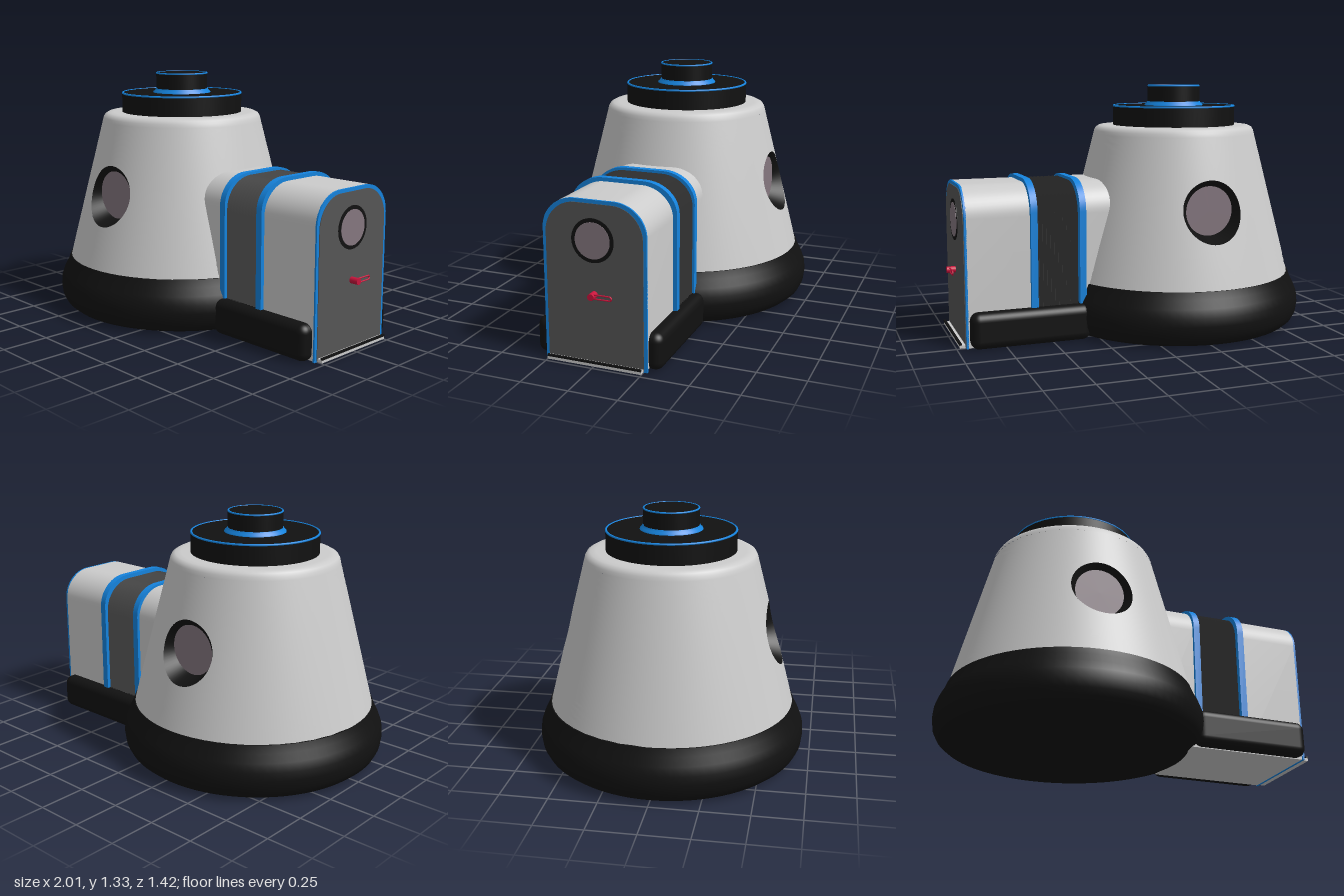
import * as THREE from 'three';
import { RoundedBoxGeometry } from 'three/addons/geometries/RoundedBoxGeometry.js';
import { toCreasedNormals } from 'three/addons/utils/BufferGeometryUtils.js';

const mat = (color, side = THREE.FrontSide) => new THREE.MeshStandardMaterial({ color, side });
const grey = mat(0xcccccc), black = mat(0x111111), blue = mat(0x1583dd), red = mat(0xc8143c);
const glass = mat(0x85777f), doorGrey = mat(0x555555);
const blackOpen = mat(0x111111, THREE.DoubleSide), bellowsGrey = mat(0x3c3c3c, THREE.DoubleSide);

function add(parent, name, geometry, material, x = 0, y = 0, z = 0) {
  const mesh = new THREE.Mesh(geometry, material);
  mesh.name = name;
  mesh.position.set(x, y, z);
  parent.add(mesh);
  return mesh;
}

const lathe = (pts) => toCreasedNormals(
  new THREE.LatheGeometry(pts.map(([r, y]) => new THREE.Vector2(r, y)), 80), 0.6);

// Conical wall: radius by height, and the round window openings in it
const Y0 = 0.28, Y1 = 1.06, SLOPE = 0.2545;
const wallRadius = (y) => 0.648 - SLOPE * (y - 0.29);
const WIN_Y = 0.68, WIN_R = 0.163;

// Half of the wall, meshed in rings running from the opening out to the border
function wallHalf() {
  const rings = 14, segs = 96, pos = [], nor = [], idx = [];
  const n = Math.hypot(1, SLOPE);
  for (let i = 0; i <= rings; i++) {
    const t = i / rings;
    for (let j = 0; j <= segs; j++) {
      const a = (j / segs) * Math.PI * 2, c = Math.cos(a), s = Math.sin(a);
      const m = Math.max(Math.abs(c), Math.abs(s));
      const holeY = WIN_Y + WIN_R * s;
      const holeT = Math.asin((WIN_R * c) / wallRadius(holeY));
      const edgeY = (Y0 + Y1) / 2 + ((Y1 - Y0) / 2) * (s / m);
      const edgeT = (Math.PI / 2) * (c / m);
      const y = holeY + (edgeY - holeY) * t, th = holeT + (edgeT - holeT) * t;
      const r = wallRadius(y);
      pos.push(r * Math.sin(th), y, r * Math.cos(th));
      nor.push(Math.sin(th) / n, SLOPE / n, Math.cos(th) / n);
      if (i < rings && j < segs) {
        const p = i * (segs + 1) + j, q = p + segs + 1;
        idx.push(p, q, q + 1, p, q + 1, p + 1);
      }
    }
  }
  const g = new THREE.BufferGeometry();
  g.setAttribute('position', new THREE.Float32BufferAttribute(pos, 3));
  g.setAttribute('normal', new THREE.Float32BufferAttribute(nor, 3));
  g.setIndex(idx);
  return g;
}

// Recessed window lining, trimmed to follow the conical wall
function windowLining(depthZ, innerR) {
  const g = new THREE.CylinderGeometry(1, 1, 1, 64, 1, true).rotateX(Math.PI / 2);
  const p = g.attributes.position;
  for (let i = 0; i < p.count; i++) {
    const outer = p.getZ(i) > 0, r = outer ? WIN_R : innerR;
    const x = p.getX(i) * r, y = WIN_Y + p.getY(i) * r;
    p.setXYZ(i, x, y, outer ? Math.sqrt(wallRadius(y) ** 2 - x * x) : depthZ);
  }
  g.computeVertexNormals();
  return g;
}

// Arched cross-section of the entrance tunnel
function arch(half, top, bottom) {
  const rx = half * 0.62, ry = 0.16, k = 0.45, s = new THREE.Shape();
  s.moveTo(-half, bottom);
  s.lineTo(half, bottom);
  s.lineTo(half, top - ry);
  s.bezierCurveTo(half, top - ry * k, half - rx * k, top, half - rx, top);
  s.lineTo(-half + rx, top);
  s.bezierCurveTo(-half + rx * k, top, -half, top - ry * k, -half, top - ry);
  s.closePath();
  return s;
}

function archBlock(half, top, bottom, x0, x1) {
  const g = new THREE.ExtrudeGeometry(arch(half, top, bottom),
    { depth: x1 - x0, bevelEnabled: false, curveSegments: 12 });
  return toCreasedNormals(g.rotateY(Math.PI / 2).translate(x0, 0, 0), 0.6);
}

// Folded bellows: alternating wide and narrow arches joined in sequence
function bellows(x0, x1, folds) {
  const pos = [], idx = [];
  let count = 0;
  for (let i = 0; i <= folds * 2; i++) {
    const inset = i % 2 ? 0 : 0.035;
    const pts = arch(0.278 - inset, 0.83 - inset, 0.02).getPoints(12);
    count = pts.length;
    const x = x0 + ((x1 - x0) * i) / (folds * 2);
    pts.forEach((p) => pos.push(x, p.y, -p.x));
    if (i > 0) for (let j = 0; j < count; j++) {
      const k = (j + 1) % count, a = (i - 1) * count, b = i * count;
      idx.push(a + j, a + k, b + k, a + j, b + k, b + j);
    }
  }
  const g = new THREE.BufferGeometry();
  g.setAttribute('position', new THREE.Float32BufferAttribute(pos, 3));
  g.setIndex(idx);
  return toCreasedNormals(g, 0.5);
}

export function createModel() {
  const model = new THREE.Group();
  model.name = 'capsuleHabitat';

  // Round capsule
  const capsule = new THREE.Group();
  capsule.name = 'capsule';
  capsule.position.x = -0.295;
  model.add(capsule);
  add(capsule, 'base', lathe([[0, 0], [0.62, 0], [0.655, 0.01], [0.685, 0.035], [0.703, 0.07], [0.71, 0.12],
    [0.706, 0.165], [0.69, 0.208], [0.668, 0.25], [0.653, 0.29], [0.64, 0.29]]), black);
  add(capsule, 'shoulder', lathe([[wallRadius(Y1), Y1], [0.447, 1.08], [0.438, 1.096], [0.42, 1.106],
    [0.39, 1.108], [0, 1.108]]), grey);

  // Front and back halves, each with its window
  for (const turn of [0, Math.PI]) {
    const half = new THREE.Group();
    half.name = turn ? 'backHalf' : 'frontHalf';
    half.rotation.y = turn;
    capsule.add(half);
    add(half, 'wall', wallHalf(), grey);
    add(half, 'windowLining', windowLining(0.485, 0.13), blackOpen);
    add(half, 'windowPane', new THREE.CircleGeometry(0.132, 48), glass, 0, WIN_Y, 0.486);
  }

  // Stepped roof hatch with blue trim
  const flatRing = (r, tube) => new THREE.TorusGeometry(r, tube, 10, 80).rotateX(Math.PI / 2);
  add(capsule, 'roofDisc', new THREE.CylinderGeometry(0.34, 0.34, 0.115, 80), black, 0, 1.158);
  add(capsule, 'roofDiscTrim', flatRing(0.336, 0.006), blue, 0, 1.213);
  add(capsule, 'hatch', new THREE.CylinderGeometry(0.145, 0.145, 0.113, 64), black, 0, 1.27);
  add(capsule, 'hatchTrim', flatRing(0.142, 0.005), blue, 0, 1.324);
  add(capsule, 'hatchCollar', lathe([[0.164, 1.215], [0.162, 1.221], [0.153, 1.228], [0.148, 1.238],
    [0.14, 1.238]]), blue);

  // Entrance tunnel
  const tunnel = new THREE.Group();
  tunnel.name = 'entranceTunnel';
  model.add(tunnel);
  add(tunnel, 'neck', archBlock(0.27, 0.83, 0.02, 0.06, 0.32), grey);
  add(tunnel, 'innerHoop', archBlock(0.287, 0.842, 0.1, 0.315, 0.35), blue);
  add(tunnel, 'bellows', bellows(0.348, 0.58, 11), bellowsGrey);
  add(tunnel, 'outerHoop', archBlock(0.291, 0.85, 0.1, 0.577, 0.613), blue);
  add(tunnel, 'porch', archBlock(0.27, 0.83, 0.02, 0.61, 0.942), grey);
  add(tunnel, 'floorPlate', new THREE.BoxGeometry(0.65, 0.02, 0.52), grey, 0.625, 0.012);
  for (const s of [1, -1])
    add(tunnel, 'sideSkirt', new RoundedBoxGeometry(0.635, 0.19, 0.1, 5, 0.045), black, 0.6175, 0.097, s * 0.285);

  // Door with frame, window, handle and sill
  const door = new THREE.Group();
  door.name = 'door';
  model.add(door);
  add(door, 'doorFrame', archBlock(0.27, 0.83, 0, 0.94, 0.951), blue);
  add(door, 'doorPanel', archBlock(0.253, 0.812, 0.005, 0.942, 0.954), doorGrey);
  const porthole = (r) => new THREE.CylinderGeometry(r, r, 0.01, 48).rotateZ(Math.PI / 2);
  add(door, 'portholeRim', porthole(0.11), black, 0.952, 0.632, 0.005);
  add(door, 'portholePane', porthole(0.091), glass, 0.954, 0.632, 0.005);
  add(door, 'sill', new THREE.BoxGeometry(0.036, 0.016, 0.5), grey, 0.965, 0.01);
  add(door, 'sillSeal', new THREE.BoxGeometry(0.012, 0.01, 0.5), black, 0.979, 0.022);
  add(door, 'handleKnob', new THREE.CylinderGeometry(0.017, 0.017, 0.05, 24).rotateZ(Math.PI / 2), red, 0.975, 0.364);
  const loop = new THREE.CatmullRomCurve3([[0.01, -0.01], [0.01, -0.095], [0, -0.104], [-0.01, -0.095], [-0.01, -0.01]]
    .map(([y, z]) => new THREE.Vector3(0.985, 0.364 + y, z)), true, 'catmullrom', 0.1);
  add(door, 'handleLoop', new THREE.TubeGeometry(loop, 48, 0.004, 8, true), red);

  return model;
}
